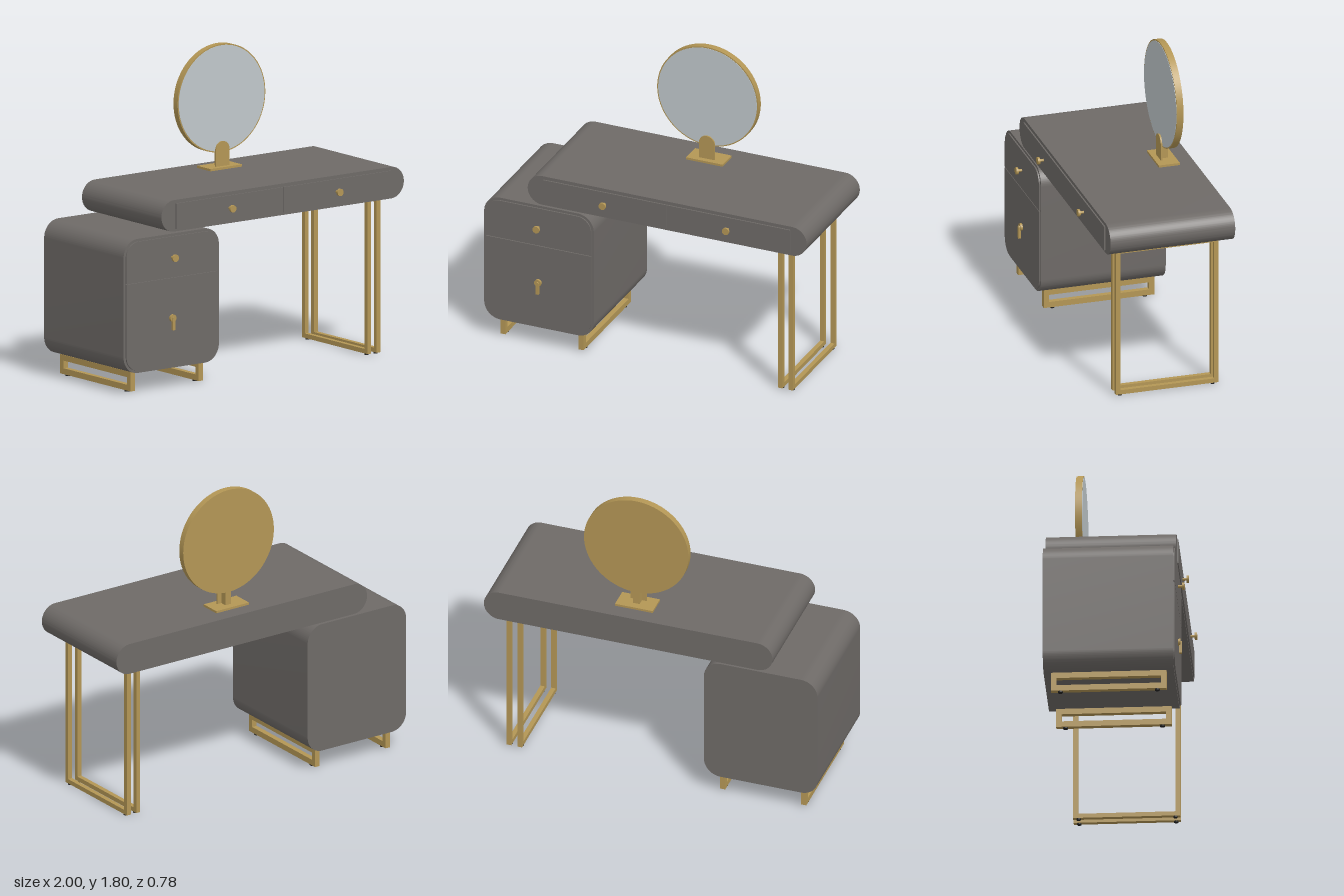
import * as THREE from 'three';
import { toCreasedNormals } from 'three/addons/utils/BufferGeometryUtils.js';

const paint = (name, color) => {
  const m = new THREE.MeshStandardMaterial({ color });
  m.name = name;
  return m;
};

export function createModel() {
  const grey = paint('warm grey lacquer', 0x6e6a67);
  const brass = paint('brushed brass', 0xb39655);
  const glass = paint('mirror glass', 0xc0c8cb);
  const rubber = paint('black rubber', 0x222222);
  const model = new THREE.Group();
  model.name = 'dressingTable';

  const add = (name, geometry, material, parent = model) => {
    const mesh = new THREE.Mesh(geometry, material);
    mesh.name = name;
    parent.add(mesh);
    return mesh;
  };
  const group = (name) => {
    const g = new THREE.Group();
    g.name = name;
    model.add(g);
    return g;
  };
  // Box given by its limits on each axis
  const box = (name, x0, x1, y0, y1, z0, z1, material, parent) =>
    add(name, new THREE.BoxGeometry(x1 - x0, y1 - y0, z1 - z0), material, parent)
      .position.set((x0 + x1) / 2, (y0 + y1) / 2, (z0 + z1) / 2);
  // Rectangle with separate bottom and top corner radii
  const rounded = (x0, x1, y0, y1, rb, rt) => {
    const s = new THREE.Shape();
    const corner = (x, y, r, a) => (r > 0
      ? s.absarc(x, y, r, a, a + Math.PI / 2, false) : s.lineTo(x, y));
    s.moveTo(x0 + rb, y0);
    corner(x1 - rb, y0 + rb, rb, -Math.PI / 2);
    corner(x1 - rt, y1 - rt, rt, 0);
    corner(x0 + rt, y1 - rt, rt, Math.PI / 2);
    corner(x0 + rb, y0 + rb, rb, Math.PI);
    return s;
  };
  const slab = (name, shape, z0, z1, material, parent) => {
    const g = new THREE.ExtrudeGeometry(shape, { depth: z1 - z0, bevelEnabled: false, curveSegments: 16 });
    g.translate(0, 0, z0);
    return add(name, toCreasedNormals(g, 0.6), material, parent);
  };
  // Cylinder along z
  const disc = (name, x, y, z0, z1, r, material, parent, sides = 24) => {
    const g = new THREE.CylinderGeometry(r, r, z1 - z0, sides);
    g.rotateX(Math.PI / 2);
    add(name, g, material, parent).position.set(x, y, (z0 + z1) / 2);
  };

  const back = -0.39, front = 0.35, face = 0.358;

  // Desk top with fully rounded ends and two drawers
  const desk = group('desk');
  slab('deskTop', rounded(-0.73, 1, 0.905, 1.087, 0.0909, 0.0909), back, front, grey, desk);
  box('leftDrawerFront', 0.135, 0.9, 0.92, 1.067, front, face, grey, desk);
  box('rightDrawerFront', -0.63, 0.131, 0.92, 1.067, front, face, grey, desk);

  // Side cabinet and its two fronts
  const cabinet = group('cabinet');
  slab('cabinetBody', rounded(-1, -0.32, 0.12, 0.895, 0.1, 0.1), back, front, grey, cabinet);
  slab('upperDrawerFront', rounded(-0.985, -0.335, 0.645, 0.88, 0, 0.085), front, face, grey, cabinet);
  slab('lowerDrawerFront', rounded(-0.985, -0.335, 0.135, 0.641, 0.085, 0), front, face, grey, cabinet);

  // Round knobs
  for (const [x, y] of [[-0.25, 0.995], [0.515, 0.995], [-0.66, 0.76]]) {
    const knob = group('knob');
    disc('knobStem', x, y, front, 0.385, 0.008, brass, knob, 12);
    disc('knobHead', x, y, 0.382, 0.395, 0.021, brass, knob);
  }

  // Drop pull on the lower drawer
  const pull = group('dropPull');
  disc('pullRosette', -0.66, 0.41, face, 0.372, 0.021, brass, pull);
  disc('pullPin', -0.66, 0.41, 0.37, 0.38, 0.009, brass, pull, 12);
  box('pullTab', -0.669, -0.651, 0.342, 0.408, 0.365, 0.38, brass, pull);

  // Closed rectangular leg frames in the yz plane, with rubber pads
  const legFrame = (name, x, w, z0, z1, y1, t, tb) => {
    const y0 = 0.008;
    const frame = group(name);
    box('topRail', x - w / 2, x + w / 2, y1 - tb, y1, z0, z1, brass, frame);
    box('bottomRail', x - w / 2, x + w / 2, y0, y0 + tb, z0, z1, brass, frame);
    for (const z of [z0, z1 - t])
      box('upright', x - w / 2, x + w / 2, y0 + tb, y1 - tb, z, z + t, brass, frame);
    for (const z of [-0.295, 0.255]) {
      const pad = add('footPad', new THREE.CylinderGeometry(w * 0.45, w * 0.45, y0, 16), rubber, frame);
      pad.position.set(x, y0 / 2, z);
    }
  };
  for (const x of [0.806, 0.871]) legFrame('deskLegFrame', x, 0.027, -0.327, 0.282, 0.905, 0.026, 0.026);
  for (const x of [-0.903, -0.417]) legFrame('cabinetLegFrame', x, 0.031, -0.348, 0.308, 0.12, 0.031, 0.034);

  // Round mirror on a brass stand
  const mirror = group('mirror');
  const mx = 0.133;
  box('standBase', mx - 0.113, mx + 0.113, 1.087, 1.1, -0.297, -0.172, brass, mirror);
  slab('standTab', rounded(mx - 0.048, mx + 0.048, 1.1, 1.243, 0, 0.0479), -0.213, -0.204, brass, mirror);
  box('standPost', mx - 0.02, mx + 0.02, 1.1, 1.19, -0.254, -0.213, brass, mirror);
  disc('mirrorFrame', mx, 1.49, -0.256, -0.217, 0.313, brass, mirror, 72);
  disc('mirrorGlass', mx, 1.49, -0.218, -0.215, 0.306, glass, mirror, 72);

  return model;
}
